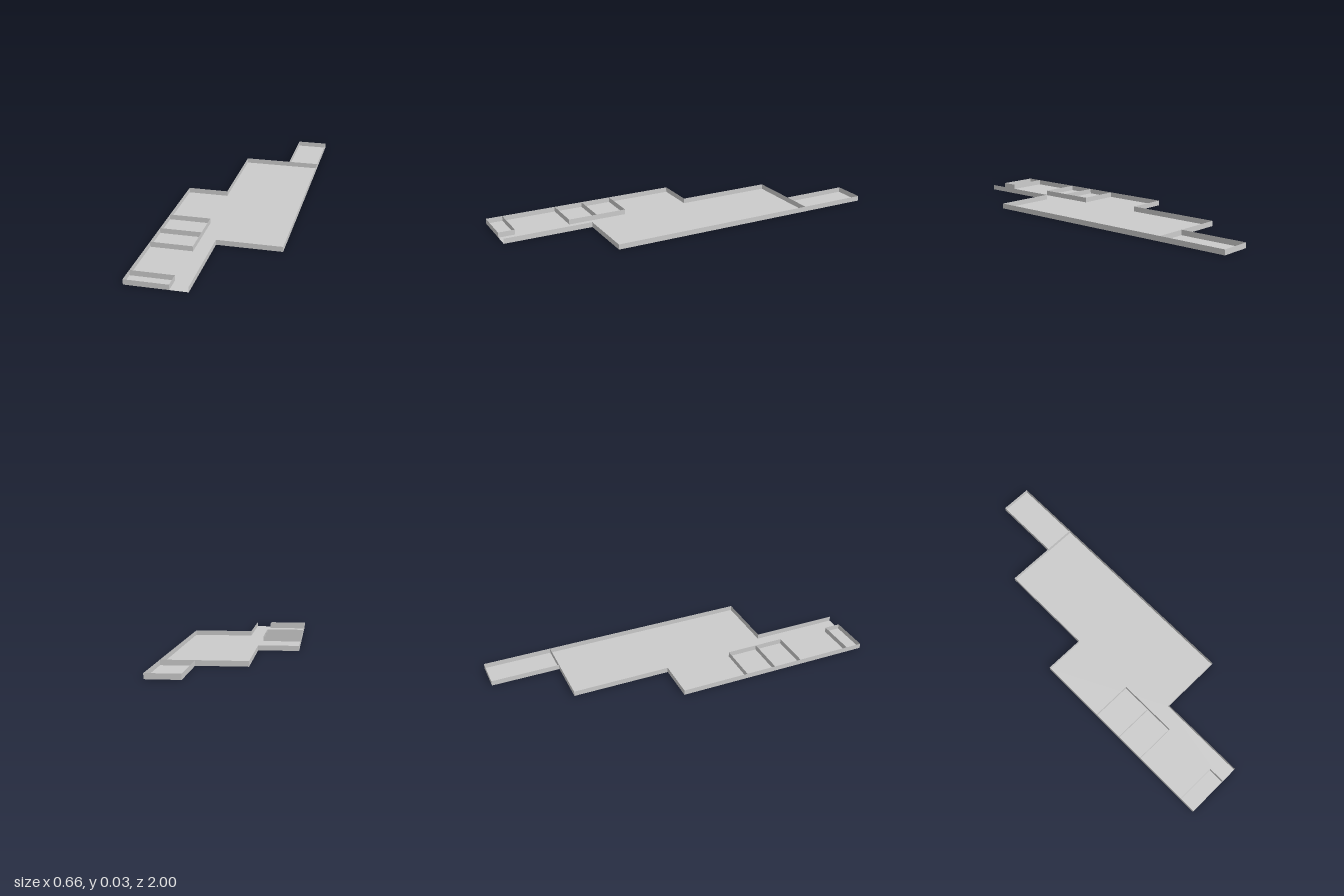
import * as THREE from 'three';

const HEIGHT = 0.028;

export function createModel() {
  const model = new THREE.Group();
  model.name = 'floorPlan';
  const material = new THREE.MeshStandardMaterial({
    color: 0xcccccc, side: THREE.DoubleSide, flatShading: true,
  });

  // Outline of the building as [x, z] corners
  const outline = [
    [-0.107, 1], [-0.33, 1], [-0.33, -0.092], [-0.107, -0.092], [-0.107, -0.625],
    [0.157, -0.625], [0.157, -1], [0.33, -1], [0.33, 0.515], [-0.014, 0.515], [-0.014, 1],
  ];

  // Floor slab
  const shape = new THREE.Shape(outline.map(([x, z]) => new THREE.Vector2(x, z)));
  const floor = new THREE.Mesh(new THREE.ShapeGeometry(shape).rotateX(Math.PI / 2), material);
  floor.name = 'floor';
  model.add(floor);

  // A thin upright wall along each stretch of a path
  function addWalls(name, path) {
    const group = new THREE.Group();
    group.name = name;
    for (let i = 0; i + 1 < path.length; i++) {
      const [x0, z0] = path[i], [x1, z1] = path[i + 1];
      const wall = new THREE.Mesh(
        new THREE.PlaneGeometry(Math.hypot(x1 - x0, z1 - z0), HEIGHT), material);
      wall.name = 'wall';
      wall.position.set((x0 + x1) / 2, HEIGHT / 2, (z0 + z1) / 2);
      wall.rotation.y = -Math.atan2(z1 - z0, x1 - x0);
      group.add(wall);
    }
    model.add(group);
  }

  // Outer walls leave the entrance open at the front
  addWalls('outerWalls', outline);
  // Closet beside the entrance
  addWalls('closetWalls', [[-0.107, 1], [-0.107, 0.91], [-0.33, 0.91]]);
  // Pair of small rooms on the side
  addWalls('smallRoomWalls', [[-0.33, 0.61], [-0.107, 0.61], [-0.107, 0.28], [-0.33, 0.28]]);
  addWalls('smallRoomDivider', [[-0.33, 0.45], [-0.107, 0.45]]);
  // Wall closing off the narrow back room
  addWalls('backRoomWall', [[0.157, -0.625], [0.33, -0.625]]);

  return model;
}
